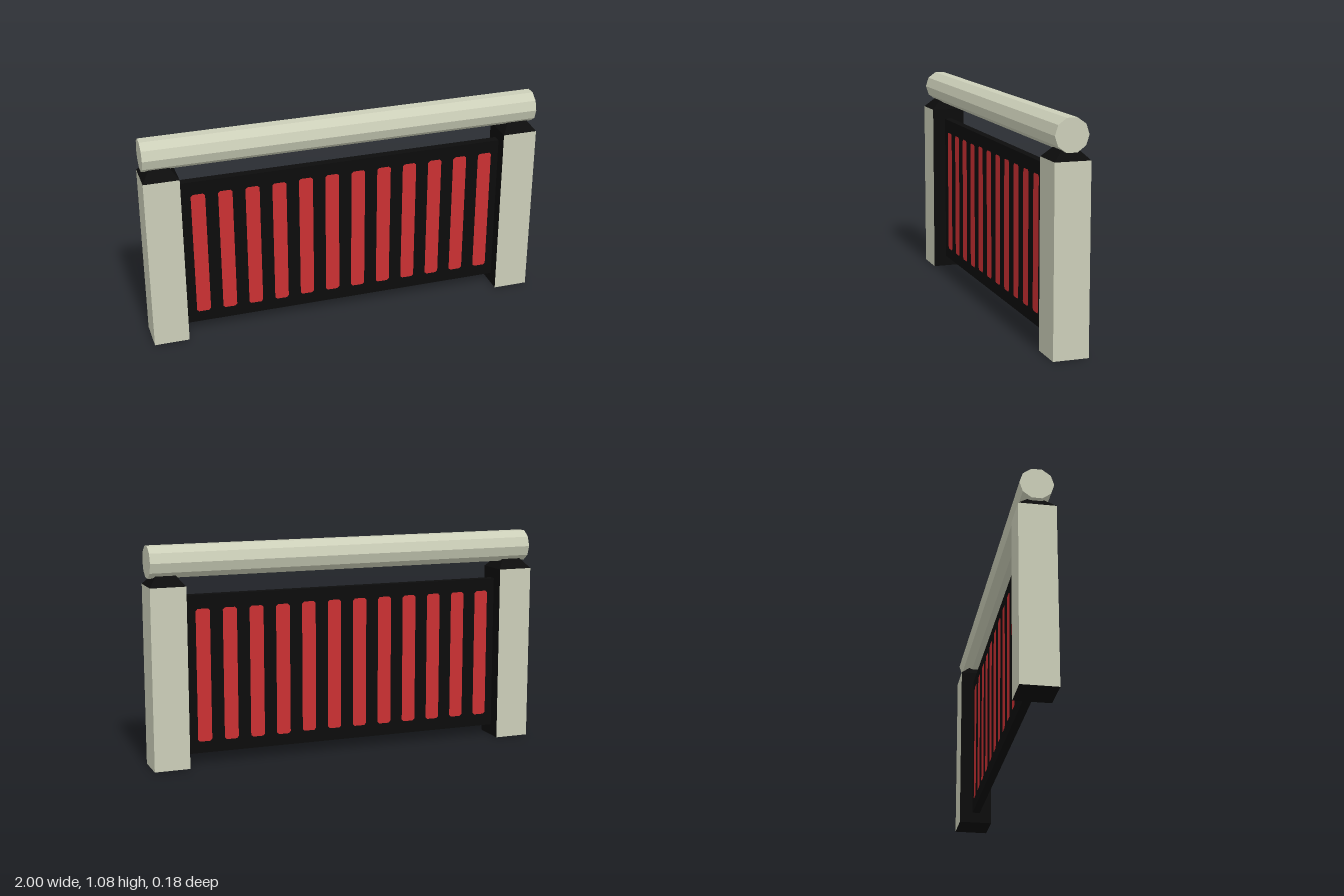
import * as THREE from 'three';

const cream = new THREE.MeshStandardMaterial({ color: 0xcbceb8, flatShading: true });
cream.name = 'cream stone';
const black = new THREE.MeshStandardMaterial({ color: 0x0c0c0c, flatShading: true });
black.name = 'black';
const red = new THREE.MeshStandardMaterial({ color: 0xca3032, flatShading: true });
red.name = 'red';

function add(parent, name, geometry, material, x = 0, y = 0, z = 0) {
  const mesh = new THREE.Mesh(geometry, material);
  mesh.name = name;
  mesh.position.set(x, y, z);
  parent.add(mesh);
  return mesh;
}

// Box whose top face is narrowed to the given size
function taperedBox(w, h, d, topW, topD) {
  const g = new THREE.BoxGeometry(w, h, d);
  const p = g.attributes.position;
  for (let i = 0; i < p.count; i++) {
    if (p.getY(i) > 0) {
      p.setX(i, Math.sign(p.getX(i)) * topW / 2);
      p.setZ(i, Math.sign(p.getZ(i)) * topD / 2);
    }
  }
  g.computeVertexNormals();
  return g;
}

// Flat upright strip with clipped corners
function slatGeometry(w, h) {
  const x = w / 2, y = h / 2, c = 0.01;
  const pts = [[-x + c, -y], [x - c, -y], [x, -y + c], [x, y - c], [x - c, y], [-x + c, y], [-x, y - c], [-x, -y + c]];
  return new THREE.ShapeGeometry(new THREE.Shape(pts.map(([a, b]) => new THREE.Vector2(a, b))));
}

export function createModel() {
  const model = new THREE.Group();
  model.name = 'railing';

  // Posts: cream outside, black on the inner side, top and bottom
  for (const side of [-1, 1]) {
    const post = new THREE.Group();
    post.name = side > 0 ? 'leftPost' : 'rightPost';
    const front = side > 0 ? 0.082 : 0.088, back = -0.088;
    const depth = front - back;
    post.position.set(side * 0.9125, 0, (front + back) / 2);
    const sides = side > 0 ? [cream, black] : [black, cream];
    add(post, 'postShaft', new THREE.BoxGeometry(0.175, 0.888, depth), [...sides, black, black, cream, cream], 0, 0.444);
    add(post, 'postCap', taperedBox(0.175, 0.05, depth, 0.095, 0.07), black, 0, 0.913);
    model.add(post);
  }

  // Ten-sided top rail
  const rail = add(model, 'topRail', new THREE.CylinderGeometry(0.08, 0.08, 1.988, 10), cream, 0, 1.001, 0);
  rail.rotation.z = -Math.PI / 2;

  // Panel between the posts
  const thickness = 0.04;
  add(model, 'panel', new THREE.BoxGeometry(1.65, 0.78, thickness), black, 0, 0.445, 0);

  // Red slats on both faces of the panel
  const slat = slatGeometry(0.071, 0.655);
  for (const face of [1, -1]) {
    const row = new THREE.Group();
    row.name = face > 0 ? 'frontSlats' : 'backSlats';
    if (face < 0) row.rotation.y = Math.PI;
    for (let i = 0; i < 12; i++) {
      const y = i < 4 ? 0.44 : 0.445;
      add(row, 'slat', slat, red, -0.731 + i * 0.1347, y, thickness / 2 + 0.002);
    }
    model.add(row);
  }
  return model;
}
